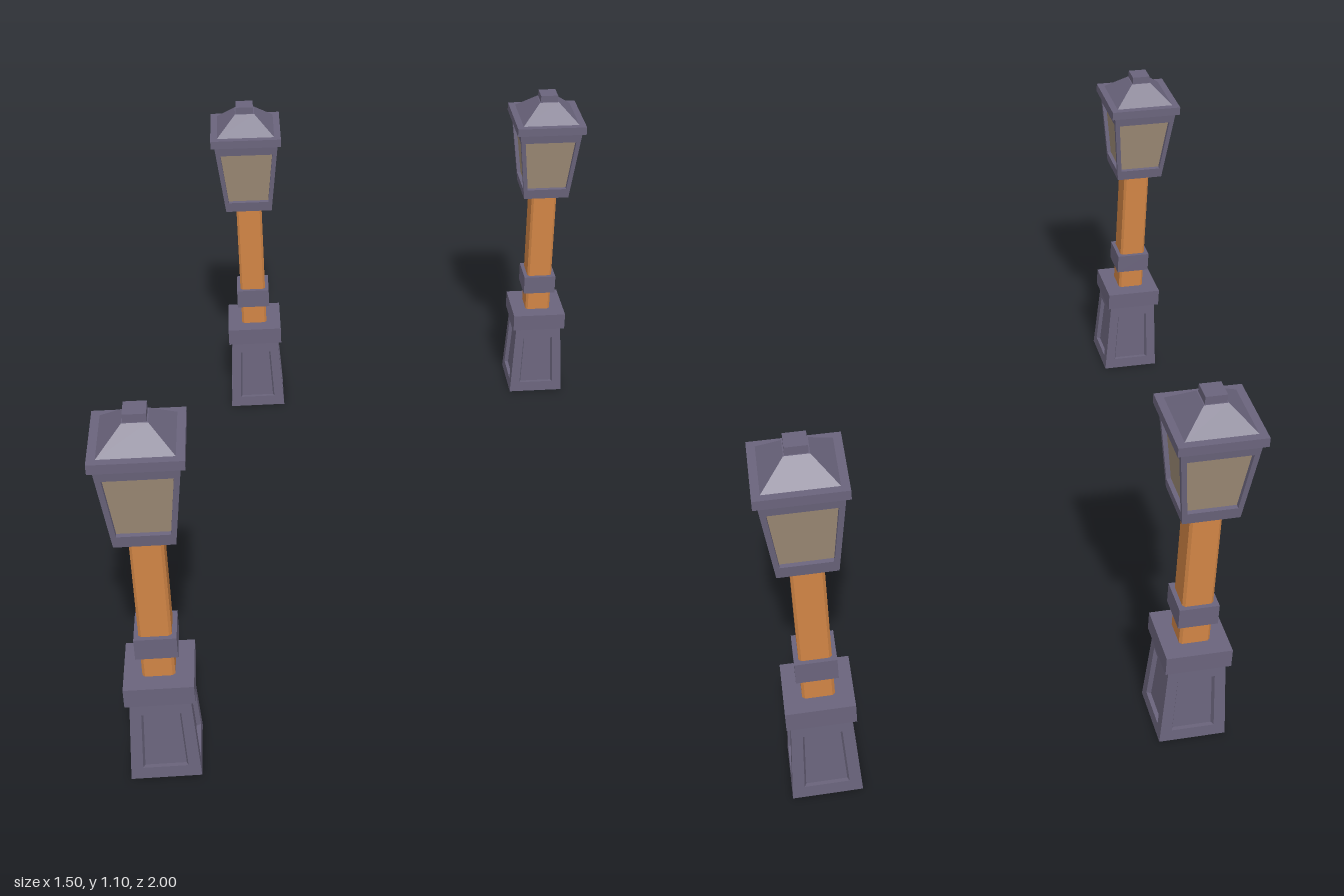
import * as THREE from 'three';
import { mergeGeometries } from 'three/addons/utils/BufferGeometryUtils.js';

const material = (color, side = THREE.FrontSide) =>
  new THREE.MeshStandardMaterial({ color, flatShading: true, side });
const metal = material(0x6a647c);
const metalOpen = material(0x6a647c, THREE.DoubleSide);
const wood = material(0xd08445);
const glass = material(0x9c8a76);

function add(group, name, geometry, mat) {
  const mesh = new THREE.Mesh(geometry, mat);
  mesh.name = name;
  group.add(mesh);
}

// Square block between two heights
const block = (half, y0, y1) =>
  new THREE.BoxGeometry(half * 2, y1 - y0, half * 2).translate(0, (y0 + y1) / 2, 0);

// Non-indexed geometry from quads, each with corners counter-clockwise
function fromQuads(quads) {
  const pos = [];
  for (const [a, b, c, d] of quads) for (const p of [a, b, c, a, c, d]) pos.push(...p);
  const g = new THREE.BufferGeometry();
  g.setAttribute('position', new THREE.Float32BufferAttribute(pos, 3));
  g.computeVertexNormals();
  return g;
}

// Repeat one side around the four sides of a square
const fourSides = (g) =>
  mergeGeometries([0, 1, 2, 3].map((k) => g.clone().rotateY((k * Math.PI) / 2)));

// Tapered square box: framed walls with a sunken panel on each side.
// outer and opening are [y0, half0, y1, half1]
function panelledBox(outer, opening, depth, bevel) {
  const [y0, h0, y1, h1] = outer;
  const slope = (h1 - h0) / (y1 - y0);
  const length = Math.hypot(1, slope);
  const ring = ([ya, ha, yb, hb], sink, inset) =>
    [[-ha + inset, ya], [ha - inset, ya], [hb - inset, yb], [-hb + inset, yb]].map(([x, y]) => [
      x,
      y + (sink * slope) / length,
      h0 + slope * (y - y0) - sink / length,
    ]);
  const rings = [ring(outer, 0, 0), ring(opening, 0, 0), ring(opening, depth, bevel)];
  const quads = [];
  for (let r = 0; r < 2; r++) {
    for (let k = 0; k < 4; k++) {
      const n = (k + 1) % 4;
      quads.push([rings[r][k], rings[r][n], rings[r + 1][n], rings[r + 1][k]]);
    }
  }
  return { frame: fourSides(fromQuads(quads)), panels: fourSides(fromQuads([rings[2]])) };
}

// Square post with narrow chamfered corners
function postGeometry(half, chamfer, y0, y1) {
  const a = half, b = half - chamfer;
  const outline = [[a, -b], [a, b], [b, a], [-b, a], [-a, b], [-a, -b], [-b, -a], [b, -a]];
  const shape = new THREE.Shape(outline.map(([x, y]) => new THREE.Vector2(x, y)));
  return new THREE.ExtrudeGeometry(shape, { depth: y1 - y0, bevelEnabled: false })
    .rotateX(-Math.PI / 2)
    .translate(0, y0, 0);
}

function createLamp() {
  const lamp = new THREE.Group();

  // Pedestal, open underneath
  const base = panelledBox([0, 0.0925, 0.255, 0.078], [0.036, 0.059, 0.213, 0.051], 0.012, 0.005);
  add(lamp, 'pedestalFrame', base.frame, metalOpen);
  add(lamp, 'pedestalPanels', base.panels, metalOpen);
  add(lamp, 'pedestalCap', block(0.09, 0.253, 0.31), metal);

  // Post and collar
  add(lamp, 'post', postGeometry(0.042, 0.007, 0.31, 0.76), wood);
  add(lamp, 'collar', block(0.054, 0.38, 0.443), metal);

  // Lantern
  const lantern = panelledBox([0.757, 0.075, 1.0, 0.102], [0.79, 0.065, 0.968, 0.084], 0.012, 0);
  add(lamp, 'lanternFrame', lantern.frame, metal);
  add(lamp, 'lanternGlass', lantern.panels, glass);
  add(lamp, 'lanternFloor',
    new THREE.PlaneGeometry(0.15, 0.15).rotateX(Math.PI / 2).translate(0, 0.757, 0), metal);

  // Roof
  add(lamp, 'roofRim', block(0.113, 1.0, 1.026), metal);
  const roof = new THREE.CylinderGeometry(0.031 * Math.SQRT2, 0.092 * Math.SQRT2, 0.056, 4, 1)
    .rotateY(Math.PI / 4)
    .translate(0, 1.054, 0);
  add(lamp, 'roof', roof, metal);
  add(lamp, 'finial', block(0.028, 1.08, 1.104), metal);
  return lamp;
}

export function createModel() {
  const model = new THREE.Group();
  model.name = 'streetLamps';
  const places = [
    ['frontLamp', -0.638, 0.887],
    ['backRightLamp', -0.361, -0.873],
    ['backLeftLamp', 0.636, -0.887],
  ];
  for (const [name, x, z] of places) {
    const lamp = createLamp();
    lamp.name = name;
    lamp.position.set(x, 0, z);
    model.add(lamp);
  }
  return model;
}
